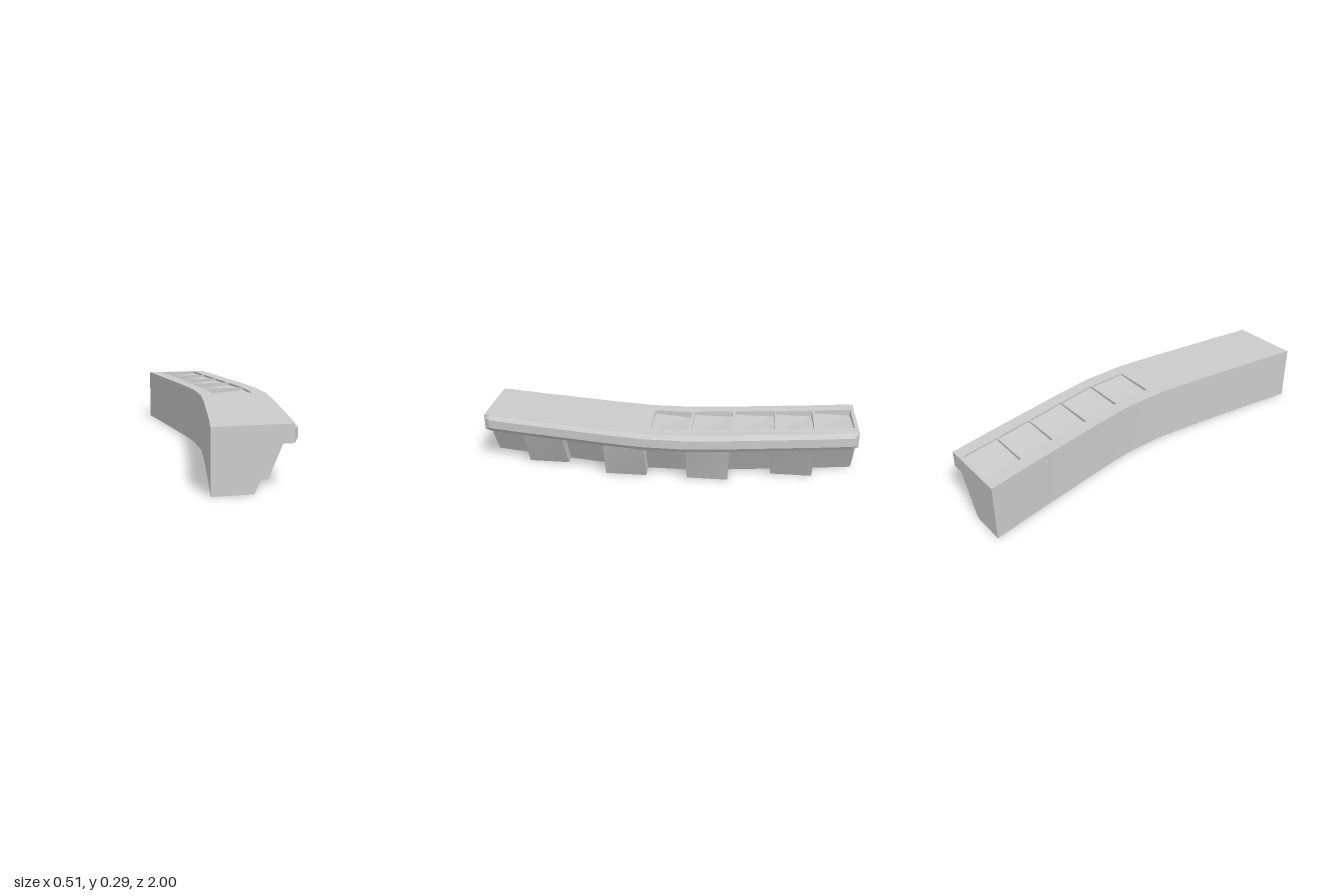
import * as THREE from 'three';
import { toCreasedNormals } from 'three/addons/utils/BufferGeometryUtils.js';

const TOP = 0.295;
const material = new THREE.MeshStandardMaterial({ color: 0xcccccc });

// Sideways bow of the desk at a distance |z| from its middle
const STATIONS = [1, 0.97, 0.78, 0.56, 0.33, 0.11];
const BOW = [0, 0.005, 0.037, 0.07, 0.105, 0.132];
const bow = (z) => BOW[STATIONS.indexOf(Math.abs(z))];

// Joins cross-sections { z, pts } (front to back, counter-clockwise), caps both ends
function loft(sections, skipEdge = -1) {
  const pos = [];
  const put = (s, i) => pos.push(s.pts[i][0], s.pts[i][1], s.z);
  const n = sections[0].pts.length;
  for (let k = 0; k < sections.length - 1; k++) {
    const a = sections[k], b = sections[k + 1];
    for (let i = 0; i < n; i++) {
      if (i === skipEdge) continue;
      const j = (i + 1) % n;
      put(a, i); put(b, i); put(b, j);
      put(a, i); put(b, j); put(a, j);
    }
  }
  for (const [s, flip] of [[sections[0], false], [sections.at(-1), true]]) {
    const outline = s.pts.map(([x, y]) => new THREE.Vector2(x, y));
    for (const t of THREE.ShapeUtils.triangulateShape(outline, [])) {
      (flip ? [t[0], t[2], t[1]] : t).forEach((i) => put(s, i));
    }
  }
  const g = new THREE.BufferGeometry();
  g.setAttribute('position', new THREE.Float32BufferAttribute(pos, 3));
  return toCreasedNormals(g, 0.25);
}

function add(group, name, geometry, mat = material) {
  const mesh = new THREE.Mesh(geometry, mat);
  mesh.name = name;
  group.add(mesh);
}

// Desk profile: back, base, sloping front, lip with bevels, top
const PROFILE = [[-0.256, 0], [-0.07, 0], [0.04, 0.212], [0.108, 0.205],
  [0.123, 0.228], [0.123, 0.275], [0.103, TOP], [-0.256, TOP]];
const END_PROFILE = [[-0.256, 0], [-0.07, 0], [0.04, 0.212], [0.105, 0.212],
  [0.105, 0.23], [0.105, 0.275], [0.105, TOP], [-0.256, TOP]];

// Tray openings in the top, corners as [x, z]
const TRAYS = [
  [[-0.18, -0.98], [0.04, -0.98], [0.07, -0.78], [-0.15, -0.78]],
  [[-0.145, -0.77], [0.07, -0.77], [0.1, -0.575], [-0.115, -0.575]],
  [[-0.12, -0.565], [0.1, -0.565], [0.135, -0.355], [-0.09, -0.355]],
  [[-0.09, -0.34], [0.135, -0.345], [0.165, -0.135], [-0.06, -0.135]],
  [[-0.055, -0.12], [0.165, -0.12], [0.165, 0.08], [-0.055, 0.08]],
];
const TRAY_DEPTH = [0.035, 0.012, 0.01, 0.018];

// Four walls and a tilted floor
function trayGeometry(corners) {
  const pos = [];
  const quad = (a, b, c, d) => pos.push(...a, ...b, ...c, ...a, ...c, ...d);
  const rim = corners.map(([x, z]) => [x, TOP, z]);
  const floor = corners.map(([x, z], i) => [x, TOP - TRAY_DEPTH[i], z]);
  quad(floor[0], floor[3], floor[2], floor[1]);
  for (let i = 0; i < 4; i++) {
    const j = (i + 1) % 4;
    quad(rim[i], floor[i], floor[j], rim[j]);
  }
  const g = new THREE.BufferGeometry();
  g.setAttribute('position', new THREE.Float32BufferAttribute(pos, 3));
  g.computeVertexNormals();
  return g;
}

export function createModel() {
  const group = new THREE.Group();
  group.name = 'curvedDesk';

  // Body, left open on top
  const zs = [...STATIONS, ...STATIONS.map((z) => -z).reverse()];
  const sections = zs.map((z) => ({
    z,
    pts: (Math.abs(z) === 1 ? END_PROFILE : PROFILE).map(([x, y]) => [x + bow(z), y]),
  }));
  add(group, 'body', loft(sections, PROFILE.length - 2));

  // Top surface with tray openings
  const edge = (i) => sections.map((s) => new THREE.Vector2(s.pts[i][0], -s.z));
  const shape = new THREE.Shape([...edge(6), ...edge(7).reverse()]);
  for (const t of TRAYS) {
    shape.holes.push(new THREE.Path(t.map(([x, z]) => new THREE.Vector2(x, -z))));
  }
  add(group, 'top', new THREE.ShapeGeometry(shape).rotateX(-Math.PI / 2).translate(0, TOP, 0));

  // Sunken trays
  const thin = material.clone();
  thin.side = THREE.DoubleSide;
  TRAYS.forEach((t, i) => add(group, `tray${i + 1}`, trayGeometry(t), thin));

  // Protruding front blocks: [outer z, inner z, base x, top x outer, top x inner]
  const blocks = [[0.78, 0.56, 0.055, 0.145, 0.165], [0.33, 0.11, 0.148, 0.207, 0.238]];
  for (const [zo, zi, base, topO, topI] of blocks) {
    for (const side of [1, -1]) {
      const ends = [[zo, topO], [zi, topI]].map(([z, top]) => ({
        z: z * side,
        pts: [[-0.07 + bow(z), 0], [base, 0], [top, 0.209], [0.04 + bow(z), 0.212]],
      }));
      if (side < 0) ends.reverse();
      add(group, 'frontBlock', loft(ends));
    }
  }
  return group;
}
